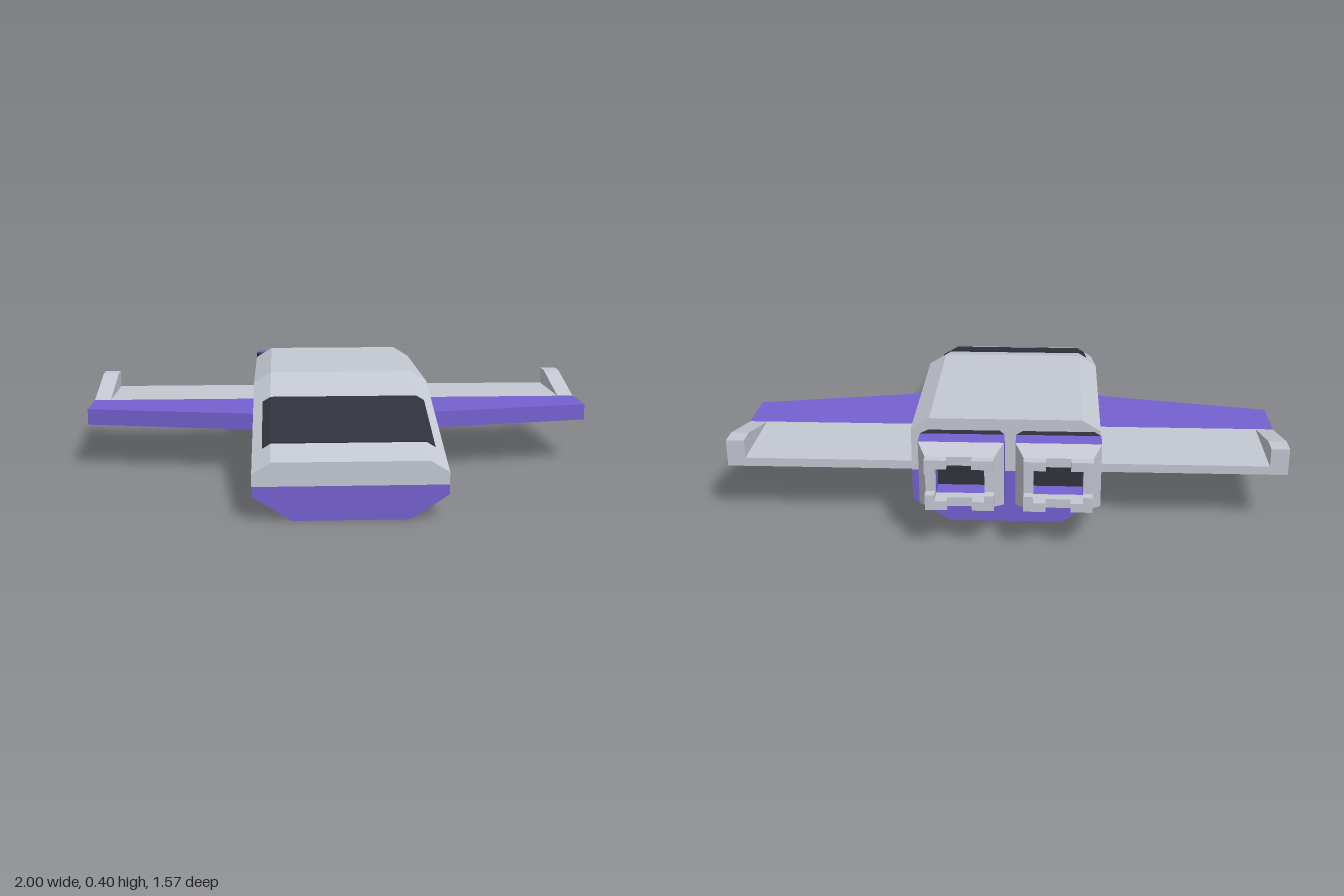
import * as THREE from 'three';

const mat = (name, color) => Object.assign(new THREE.MeshStandardMaterial({ color }), { name });

// Flat-faced skin through rings of [x, y, z] points (counter-clockwise as seen from the first end)
function loft(rings, capStart = true, capEnd = true) {
  const pos = [];
  const tri = (a, b, c) => pos.push(...a, ...b, ...c);
  const n = rings[0].length;
  for (let r = 0; r + 1 < rings.length; r++) {
    const a = rings[r], b = rings[r + 1];
    for (let i = 0; i < n; i++) {
      const j = (i + 1) % n;
      tri(a[i], b[i], b[j]);
      tri(a[i], b[j], a[j]);
    }
  }
  const first = rings[0], last = rings[rings.length - 1];
  for (let i = 1; i + 1 < n; i++) {
    if (capStart) tri(first[0], first[i], first[i + 1]);
    if (capEnd) tri(last[0], last[i + 1], last[i]);
  }
  const g = new THREE.BufferGeometry();
  g.setAttribute('position', new THREE.Float32BufferAttribute(pos, 3));
  g.computeVertexNormals();
  return g;
}

// Ring mirrored across x from its right half, listed bottom to top
const mirrorRing = (half, z) => [
  ...half.map(([x, y]) => [x, y, z]),
  ...half.slice().reverse().map(([x, y]) => [-x, y, z]),
];
const rectRing = (w, h, z) => mirrorRing([[w, -h], [w, h]], z);

export function createModel() {
  const grey = mat('hullGrey', 0xc4c8d2);
  const purple = mat('trimPurple', 0x7560d0);
  const dark = mat('darkGlass', 0x32323d);

  const model = new THREE.Group();
  model.name = 'spaceShuttle';
  const add = (parent, name, geometry, material) => {
    const m = new THREE.Mesh(geometry, material);
    m.name = name;
    parent.add(m);
    return m;
  };

  // Hull stations: z, colour seam, shoulder and roof heights
  const stations = [[0.785, 0.12, 0.163, 0.203], [0.12, 0.2, 0.36, 0.4], [-0.55, 0.2, 0.36, 0.4]];
  add(model, 'lowerHull', loft(stations.map(([z, seam]) =>
    mirrorRing([[0.2, 0], [0.335, 0.085], [0.335, seam]], z))), purple);
  add(model, 'upperHull', loft(stations.map(([z, seam, shoulder, roof]) =>
    mirrorRing([[0.335, seam], [0.335, shoulder], [0.27, roof]], z))), grey);

  // Windshield: thin plate folded over the sloped nose and its bevels
  const glassRing = (z) => {
    const y = 0.203 + (0.785 - z) * 0.197 / 0.665;
    const edge = y - 0.018;
    return mirrorRing([[0.27, y - 0.002], [0.3, edge - 0.002], [0.3, edge + 0.005], [0.27, y + 0.005]], z);
  };
  add(model, 'windshield', loft([glassRing(0.66), glassRing(0.33)]), dark);

  // Wings: purple leading part, grey rear part thinning to the trailing edge, tip fins
  for (const side of [1, -1]) {
    const wing = new THREE.Group();
    wing.name = side > 0 ? 'leftWing' : 'rightWing';
    model.add(wing);
    const span = (profile, inner, outer) => loft([inner, outer]
      .map((x) => x * side)
      .sort((a, b) => b - a)
      .map((x) => profile(Math.abs(x)).map(([z, y]) => [x, y, z])));
    const leadZ = (x) => 0.11 - (x - 0.335) * 0.13 / 0.665;
    add(wing, 'leadingWing', span((x) =>
      [[leadZ(x), 0.172], [-0.215, 0.172], [-0.215, 0.235], [leadZ(x), 0.235]], 0.3, 1), purple);
    add(wing, 'trailingWing', span(() =>
      [[-0.215, 0.172], [-0.55, 0.203], [-0.55, 0.235], [-0.215, 0.235]], 0.3, 1), grey);
    add(wing, 'tipFin', span(() =>
      [[-0.215, 0.235], [-0.55, 0.235], [-0.55, 0.302], [-0.48, 0.302]], 0.935, 1), grey);
  }

  // Two square engines
  for (const [name, x] of [['leftEngine', 0.147], ['rightEngine', -0.188]]) {
    const engine = new THREE.Group();
    engine.name = name;
    engine.position.set(x, 0.2525, 0);
    model.add(engine);
    add(engine, 'engineCollar', loft([rectRing(0.125, 0.103, -0.545), rectRing(0.1475, 0.1175, -0.615)]), dark);
    add(engine, 'engineBand', loft([rectRing(0.1475, 0.1175, -0.615), rectRing(0.1475, 0.1175, -0.685)], true, false), purple);

    // Nozzle skin wraps over the rim and back into the hollow
    add(engine, 'nozzle', loft([
      rectRing(0.1475, 0.1175, -0.685), rectRing(0.1175, 0.0925, -0.752),
      rectRing(0.085, 0.06, -0.752), rectRing(0.085, 0.06, -0.715)], false, false), grey);
    add(engine, 'nozzleLining', loft([rectRing(0.085, 0.06, -0.715), rectRing(0.085, 0.06, -0.65)], false, false), purple);
    const core = add(engine, 'nozzleCore', new THREE.PlaneGeometry(0.17, 0.12), dark);
    core.position.z = -0.65;
    core.rotation.y = Math.PI;

    // Corner lips of the nozzle
    for (const sx of [1, -1]) for (const sy of [1, -1]) {
      const lip = new THREE.Shape([
        [0.1175, 0.0925], [0.0425, 0.0925], [0.0425, 0.06],
        [0.085, 0.06], [0.085, 0.0375], [0.1175, 0.0375],
      ].map(([px, py]) => new THREE.Vector2(px * sx, py * sy)));
      add(engine, 'nozzleLip', new THREE.ExtrudeGeometry(lip, { depth: 0.034, bevelEnabled: false }), grey)
        .position.z = -0.785;
    }
  }

  return model;
}
